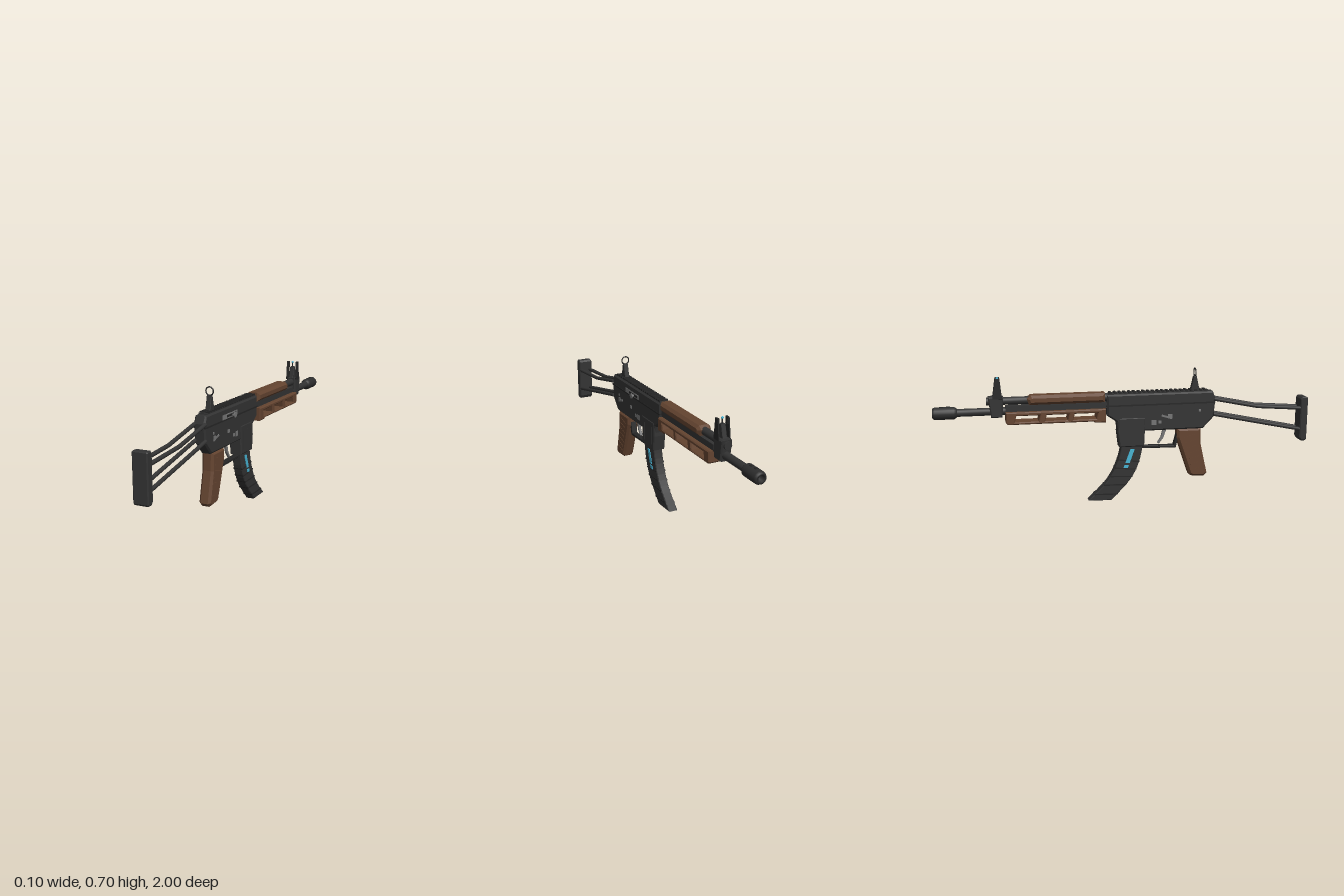
import * as THREE from 'three';

const mat = (name, color, side = THREE.FrontSide) =>
  Object.assign(new THREE.MeshStandardMaterial({ color, side }), { name });

export function createModel() {
  const metal = mat('gunmetal', 0x333333);
  const black = mat('black metal', 0x262626);
  const wood = mat('brown wood', 0x644430);
  const steel = mat('bare steel', 0x757575);
  const cyan = mat('cyan', 0x48b4d4);

  const model = new THREE.Group();
  model.name = 'rifle';
  const body = new THREE.Group();
  body.name = 'body';
  body.position.x = -0.005;
  model.add(body);

  const add = (name, geo, material, x = 0, y = 0, z = 0) => {
    const m = new THREE.Mesh(geo, material);
    m.name = name;
    m.position.set(x, y, z);
    body.add(m);
    return m;
  };
  const box = (name, w, h, d, material, x, y, z) =>
    add(name, new THREE.BoxGeometry(w, h, d), material, x, y, z);
  // cylinder lying along z
  const rod = (name, r, z0, z1, y, material, sides = 20) =>
    add(name, new THREE.CylinderGeometry(r, r, Math.abs(z1 - z0), sides).rotateX(Math.PI / 2),
      material, 0, y, (z0 + z1) / 2);
  const vecs = (pts) => pts.map(([a, b]) => new THREE.Vector2(a, b));
  // side profile of [z, y] points, extruded across x with bevelled edges
  const side = (name, pts, width, bevel, material, x = 0, holes = []) => {
    const shape = new THREE.Shape(vecs(pts));
    holes.forEach((h) => shape.holes.push(new THREE.Path(vecs(h))));
    const depth = width - 2 * bevel;
    const geo = new THREE.ExtrudeGeometry(shape, {
      depth, bevelEnabled: bevel > 0, bevelSegments: 1,
      bevelSize: bevel, bevelThickness: bevel, bevelOffset: -bevel,
    });
    geo.translate(0, 0, -depth / 2).rotateY(-Math.PI / 2);
    return add(name, geo, material, x);
  };

  // receiver
  side('receiver', [[0.478, 0.535], [0.462, 0.575], [-0.11, 0.575], [-0.11, 0.465], [-0.06, 0.43],
    [-0.05, 0.375], [0.41, 0.375], [0.468, 0.435]], 0.062, 0.008, metal);
  side('receiverSeam', [[0.474, 0.512], [0.474, 0.52], [-0.112, 0.52], [-0.112, 0.512]], 0.066, 0, black);
  side('magazineWell', [[0.095, 0.45], [-0.05, 0.45], [-0.055, 0.375], [-0.045, 0.292], [0.088, 0.292]],
    0.068, 0.006, metal);
  for (const z of [0.06, 0.02, -0.02]) box('wellRib', 0.071, 0.1, 0.008, metal, 0, 0.37, z);
  box('topRail', 0.044, 0.012, 0.54, metal, 0, 0.576, 0.17);
  for (let i = 0; i < 21; i++) box('railTooth', 0.05, 0.008, 0.013, black, 0, 0.583, 0.42 - i * 0.0255);

  // controls and pins on the receiver
  box('ejectionPort', 0.006, 0.024, 0.16, steel, 0.031, 0.532, 0.215);
  box('bolt', 0.008, 0.012, 0.1, black, 0.031, 0.532, 0.2);
  add('boltStem', new THREE.CylinderGeometry(0.006, 0.006, 0.03, 12).rotateZ(Math.PI / 2), steel, 0.034, 0.53, 0.19);
  add('boltKnob', new THREE.CylinderGeometry(0.014, 0.014, 0.006, 16).rotateZ(Math.PI / 2), steel, 0.049, 0.53, 0.19);
  for (const s of [1, -1]) {
    const z = s > 0 ? 0.365 : 0.21;
    const lever = box('selector', 0.006, 0.01, 0.06, steel, s * 0.031, 0.447, z);
    lever.rotation.x = 0.3;
    box('selectorPivot', 0.007, 0.022, 0.018, steel, s * 0.031, 0.45, z + 0.015);
    for (const [pz, py, r] of [[0.23, 0.452, 0.009], [0.14, 0.42, 0.013], [0.172, 0.42, 0.008], [0.39, 0.475, 0.006]])
      box('pin', 0.005, r * 2, r * 2, steel, s * 0.031, py, pz);
  }

  // trigger and guard
  side('triggerGuard', [[0.29, 0.376], [0.265, 0.273], [0.085, 0.277], [0.085, 0.291], [0.253, 0.287], [0.276, 0.376]],
    0.032, 0.002, black);
  side('trigger', [[0.215, 0.376], [0.195, 0.376], [0.185, 0.335], [0.165, 0.302], [0.174, 0.297], [0.198, 0.328]],
    0.014, 0.002, steel);

  // pistol grip with side ridges
  side('grip', [[0.4, 0.378], [0.27, 0.378], [0.268, 0.33], [0.3, 0.235], [0.34, 0.12], [0.355, 0.112], [0.42, 0.107],
    [0.438, 0.125], [0.402, 0.285]], 0.064, 0.012, wood);
  for (let i = 0; i < 7; i++) {
    const t = i / 6;
    const ridge = box('gripRidge', 0.068, 0.007, 0.062, wood, 0, 0.335 - t * 0.18, 0.335 + t * 0.048);
    ridge.rotation.x = -0.25;
  }

  // curved magazine, its ribs and marks
  const curve = (pts) => new THREE.SplineCurve(vecs(pts));
  const back = curve([[0.085, 0.31], [0.06, 0.2], [0.01, 0.105], [-0.09, 0]]);
  const front = curve([[-0.03, 0.31], [-0.053, 0.215], [-0.108, 0.108], [-0.212, 0.005]]);
  const pair = (p) => [p.x, p.y];
  side('magazine', [...back.getPoints(12), ...front.getPoints(12).reverse()].map(pair), 0.05, 0.004, metal);
  for (const t of [0.3, 0.44, 0.58, 0.72, 0.86])
    side('magazineRib', [back.getPoint(t), back.getPoint(t + 0.02), front.getPoint(t + 0.02), front.getPoint(t)].map(pair),
      0.053, 0, black);
  for (const s of [1, -1]) {
    side('magazineStripe', [[0.037, 0.278], [0.014, 0.278], [-0.014, 0.203], [0.01, 0.203]], 0.005, 0, cyan, s * 0.0255);
    side('magazineDot', [[0.006, 0.192], [-0.018, 0.192], [-0.024, 0.176], [0.0, 0.176]], 0.005, 0, cyan, s * 0.0255);
  }

  // handguards
  side('upperHandguard', [[-0.12, 0.538], [-0.12, 0.587], [-0.505, 0.587], [-0.525, 0.57], [-0.515, 0.538]],
    0.076, 0.014, wood);
  const slots = [[-0.16, -0.29], [-0.31, -0.435], [-0.46, -0.59]].map(([a, b]) =>
    [[a, 0.486], [b + 0.008, 0.486], [b, 0.454], [a - 0.008, 0.454]]);
  side('lowerHandguard', [[-0.118, 0.505], [-0.635, 0.505], [-0.635, 0.45], [-0.625, 0.441], [-0.185, 0.441],
    [-0.175, 0.434], [-0.118, 0.434]], 0.09, 0.005, wood, 0, slots);
  box('handguardCore', 0.04, 0.03, 0.53, metal, 0, 0.52, -0.37);

  // barrel, gas tube and muzzle
  rod('barrel', 0.02, -0.6, -0.9, 0.507, metal);
  rod('gasTube', 0.02, -0.1, -0.73, 0.56, metal);
  const muzzle = vecs([[0.014, -0.01], [0.024, 0], [0.032, 0.012], [0.032, 0.108], [0.026, 0.12], [0.016, 0.12],
    [0.014, 0.09], [0, 0.09]]);
  const muzzleMesh = add('muzzleBrake', new THREE.LatheGeometry(muzzle, 20).rotateX(-Math.PI / 2), black, 0, 0.507, -0.88);
  muzzleMesh.material = mat('dark muzzle', 0x2e2e2e, THREE.DoubleSide);
  for (const z of [-0.92, -0.955]) box('muzzleSlot', 0.014, 0.006, 0.02, black, 0, 0.537, z);

  // front sight
  side('sightBlock', [[-0.645, 0.585], [-0.65, 0.478], [-0.708, 0.478], [-0.722, 0.585]], 0.056, 0.006, metal);
  side('sightTower', [[-0.648, 0.58], [-0.663, 0.65], [-0.681, 0.65], [-0.7, 0.58]], 0.024, 0.002, metal);
  for (const s of [1, -1]) {
    side('sightEar', [[-0.65, 0.575], [-0.66, 0.68], [-0.682, 0.68], [-0.698, 0.575]], 0.006, 0.001, black, s * 0.029);
    box('earTip', 0.005, 0.034, 0.02, black, s * 0.0245, 0.662, -0.671);
  }
  rod('sightPost', 0.003, -0.668, -0.674, 0.655, black, 8).scale.y = 6;
  add('sightBead', new THREE.SphereGeometry(0.0065, 12, 8), cyan, 0, 0.677, -0.671);

  // rear sight
  side('rearSight', [[0.392, 0.58], [0.375, 0.657], [0.361, 0.657], [0.343, 0.58]], 0.026, 0.002, metal);
  add('rearRing', new THREE.TorusGeometry(0.0205, 0.0035, 8, 28), steel, 0, 0.677, 0.368).material = black;

  // skeleton stock: mirrored pairs of bars and a butt plate
  const bar = (x, a, b) => {
    const p = new THREE.Vector3(x, a[1], a[0]);
    const q = new THREE.Vector3(x, b[1], b[0]);
    const m = add('stockBar', new THREE.CylinderGeometry(0.01, 0.01, p.distanceTo(q) + 0.006, 12), metal);
    m.position.copy(p).lerp(q, 0.5);
    m.quaternion.setFromUnitVectors(new THREE.Vector3(0, 1, 0), q.sub(p).normalize());
  };
  for (const x of [0.028, -0.028]) {
    bar(x, [0.97, 0.463], [0.715, 0.483]);
    bar(x, [0.715, 0.483], [0.47, 0.533]);
    bar(x, [0.97, 0.345], [0.47, 0.45]);
  }
  side('buttPlate', [[1, 0.29], [1, 0.52], [0.994, 0.525], [0.966, 0.525], [0.959, 0.515], [0.959, 0.3], [0.97, 0.282],
    [0.994, 0.282]], 0.08, 0.005, metal);

  return model;
}
